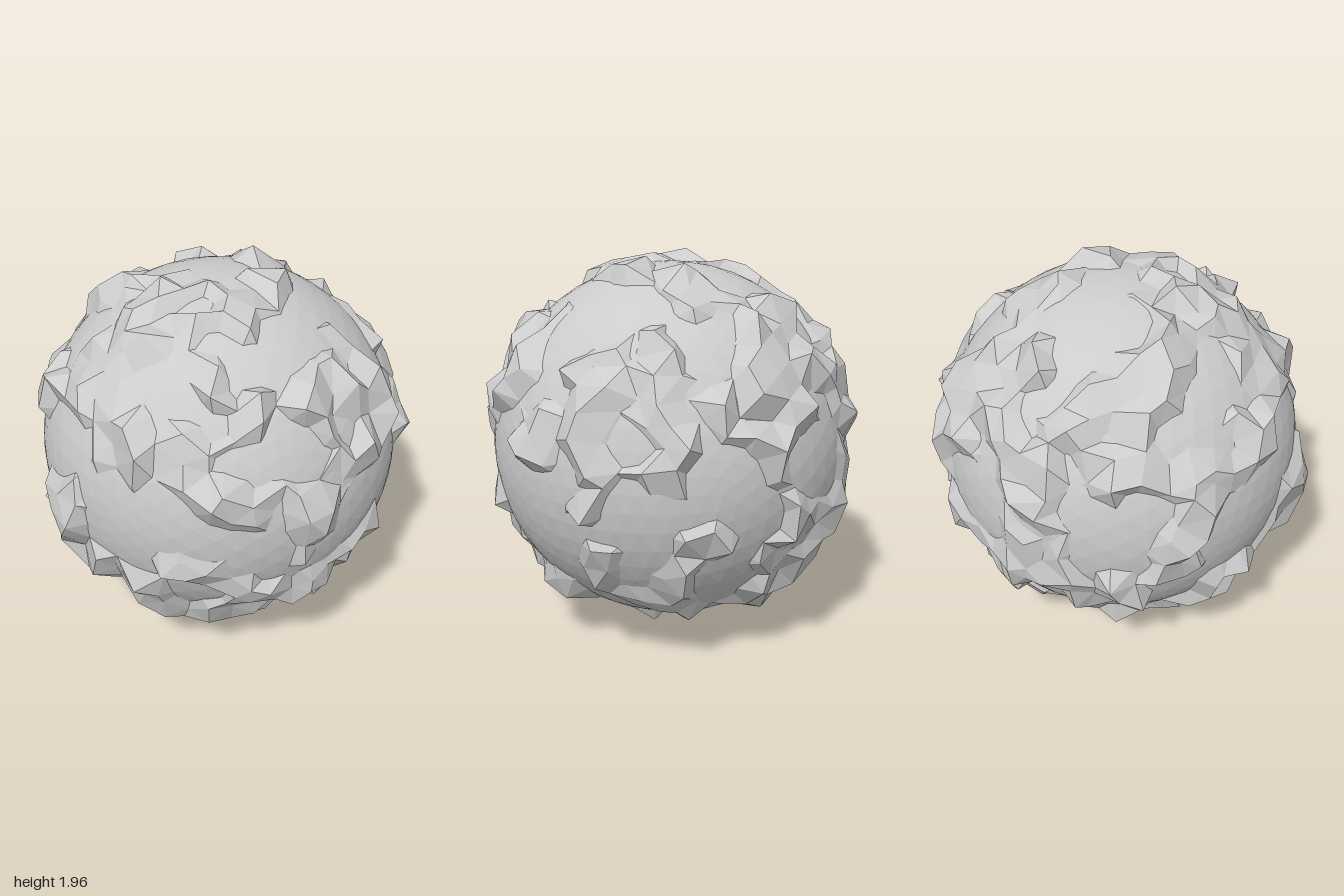
import * as THREE from 'three';
import { mergeVertices } from 'three/addons/utils/BufferGeometryUtils.js';

const SEA = 0.918;

// Land ridges as u, v paths on the globe, grouped by the direction it is faced from
const front = [
  [-.48, .4, -.4, .23, 0, .12, .3, .22], [-.53, -.16, -.18, -.38], [-.3, -.6, .45, -.25, .3, -.58],
  [-.2, .56, .28, .58], [-.75, .33, -.5, .75], [.4, .68, .62, .42, .47, .25],
  [-.9, -.25, -.65, -.52, -.3, -.73, .55, -.65],
];
const side = [
  [-.45, .15, -.2, .28, -.1, .08], [-.2, .5, .16, .42], [.23, .1], [-.1, -.38], [.22, -.44, .4, -.25],
  [.55, .65, .62, .3, .84, -.2], [-.74, .5, -.5, .62],
];
const top = [
  [-.48, .38, -.3, .65], [-.55, -.06, -.1, 0], [-.55, -.2, -.35, -.27], [-.08, -.33, .22, -.12],
  [.27, .08, .35, .3, .2, .5], [.67, .05, .85, .25], [-.75, .05, -.73, -.3],
];
const back = [
  [-.28, .09, -.12, .36, .2, .42], [-.52, .09, .4, -.1, .08, -.48], [-.6, .5, -.6, -.4],
  [-.1, -.65], [.61, .2, .5, -.05],
];
const underside = [
  [-.5, .7, .3, .7], [-.43, .08], [.05, .1, .05, -.28, .46, .1], [.6, .5, .7, -.1],
  [-.6, -.3, .3, -.43], [.2, -.62],
];

// Closely spaced directions along the ridges of one region
function ridgePoints(paths, turn, tilt) {
  const spin = new THREE.Euler(
    THREE.MathUtils.degToRad(-tilt), THREE.MathUtils.degToRad(turn), 0, 'YXZ');
  const points = [];
  for (const path of paths)
    for (let i = 0; i < path.length; i += 2) {
      const j = Math.max(0, i - 2);
      for (let t = 0; t < 1; t += 0.125) {
        const u = THREE.MathUtils.lerp(path[i], path[j], t);
        const v = THREE.MathUtils.lerp(path[i + 1], path[j + 1], t);
        const w = Math.sqrt(Math.max(0, SEA * SEA - u * u - v * v));
        points.push(new THREE.Vector3(u, v, w).normalize().applyEuler(spin));
      }
    }
  return points;
}

// Seeded values in -1..1
let seed = 7;
function rand() {
  seed = (seed * 16807) % 2147483647;
  return (seed / 2147483647) * 2 - 1;
}

// Rough crust: sunk below the sea except near ridges and islets, which thin out towards +x and the top
function landGeometry() {
  const ball = new THREE.IcosahedronGeometry(1, 8);
  ball.deleteAttribute('normal');
  ball.deleteAttribute('uv');
  const geo = mergeVertices(ball, 1e-4);
  const ridges = [
    ...ridgePoints(front, 0, 0), ...ridgePoints(side, 90, 0), ...ridgePoints(top, 0, 90),
    ...ridgePoints(back, 217, 28), ...ridgePoints(underside, 143, -28),
  ];
  const pos = geo.attributes.position;
  const p = new THREE.Vector3();
  for (let i = 0; i < pos.count; i++) {
    p.fromBufferAttribute(pos, i);
    const d = Math.min(...ridges.map((q) => p.distanceTo(q)));
    const ridge = 1 - THREE.MathUtils.smoothstep(d, 0.07, 0.22);
    const waves = Math.sin(7 * p.x + 1) * Math.sin(7 * p.y + 2) * Math.sin(7 * p.z + 0.5);
    const islet = THREE.MathUtils.smoothstep(waves - 0.25 * (p.x + p.y), 0.15, 0.5);
    const land = Math.max(ridge, islet);
    p.x += rand() * 0.035;
    p.y += rand() * 0.035;
    p.z += rand() * 0.035;
    p.setLength(0.86 + land * (0.1 + rand() * 0.055));
    pos.setXYZ(i, p.x, p.y, p.z);
  }
  const flat = geo.toNonIndexed();
  flat.computeVertexNormals();
  return flat;
}

export function createModel() {
  const planet = new THREE.Group();
  planet.name = 'planet';
  const material = new THREE.MeshStandardMaterial({ color: 0xcccccc, flatShading: true });

  const sea = new THREE.Mesh(new THREE.IcosahedronGeometry(SEA, 9), material);
  sea.name = 'sea';
  const land = new THREE.Mesh(landGeometry(), material);
  land.name = 'land';

  planet.add(sea, land);
  for (const part of planet.children) part.position.set(-0.02, 0.98, 0.02);
  return planet;
}
